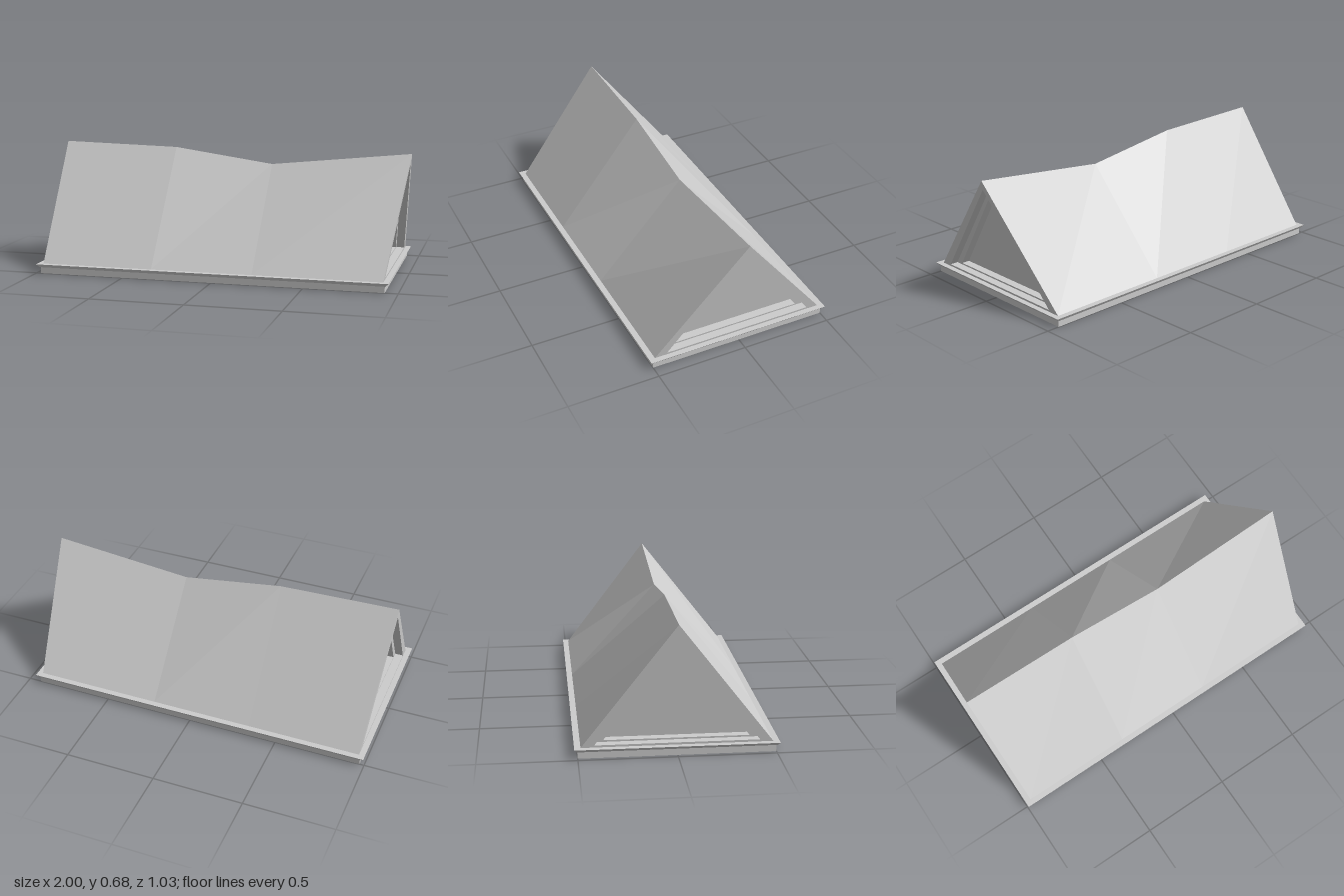
import * as THREE from 'three';

const material = new THREE.MeshStandardMaterial({ color: 0xcccccc, flatShading: true });
const EAVE_Y = 0.052, EAVE_Z = 0.485;

// Ridge points (x, y) with the eave x below each of them
const ridge = [
  { x: -1, y: 0.682, eave: -0.965 },
  { x: -0.34, y: 0.665, eave: -0.34 },
  { x: 0.22, y: 0.585, eave: 0.22 },
  { x: 1, y: 0.665, eave: 0.92 },
];

// Mesh from a list of triangles and quads, each an array of [x, y, z] corners
function faceMesh(name, faces) {
  const pos = [];
  for (const f of faces) {
    for (let i = 1; i < f.length - 1; i++) pos.push(...f[0], ...f[i], ...f[i + 1]);
  }
  const geo = new THREE.BufferGeometry();
  geo.setAttribute('position', new THREE.Float32BufferAttribute(pos, 3));
  geo.computeVertexNormals();
  const mesh = new THREE.Mesh(geo, material);
  mesh.name = name;
  return mesh;
}

// One roof slope; side is +1 for the front and -1 for the back
function roofSlope(name, side) {
  const faces = [];
  for (let i = 0; i < ridge.length - 1; i++) {
    const a = ridge[i], b = ridge[i + 1];
    const quad = [
      [a.eave, EAVE_Y, side * EAVE_Z],
      [b.eave, EAVE_Y, side * EAVE_Z],
      [b.x, b.y, 0],
      [a.x, a.y, 0],
    ];
    faces.push(side > 0 ? quad : quad.reverse());
  }
  return faceMesh(name, faces);
}

// Leaning gable with a triangular panel recessed in two steps
function gable(name, end, side) {
  const ring = (halfWidth, bottom, top, depth) =>
    [[halfWidth, bottom], [0, top], [-halfWidth, bottom]].map(([z, y]) => {
      const t = (y - EAVE_Y) / (end.y - EAVE_Y);
      return [THREE.MathUtils.lerp(end.eave, end.x, t) - side * depth, y, z];
    });
  const step = 0.045;
  const rings = [
    ring(EAVE_Z, EAVE_Y, end.y, 0),
    ring(0.417, 0.063, end.y - 0.05, 0),
    ring(0.417, 0.063, end.y - 0.05, step),
    ring(0.37, 0.072, end.y - 0.085, step),
    ring(0.37, 0.072, end.y - 0.085, step * 2),
  ];
  const faces = [];
  for (let k = 0; k < rings.length - 1; k++) {
    for (let i = 0; i < 3; i++) {
      const j = (i + 1) % 3, o = rings[k], n = rings[k + 1];
      faces.push([o[i], n[i], n[j], o[j]]);
    }
  }
  const [a, b, c] = rings[rings.length - 1];
  faces.push([a, c, b]);
  if (side < 0) faces.forEach((f) => f.reverse());
  return faceMesh(name, faces);
}

// Box between two heights whose top can be wider than its bottom
function slab(name, y0, y1, bottom, top) {
  const geo = new THREE.BoxGeometry(1, 1, 1);
  const p = geo.attributes.position;
  for (let i = 0; i < p.count; i++) {
    const r = p.getY(i) > 0 ? top : bottom;
    p.setXYZ(i, p.getX(i) > 0 ? r.x1 : r.x0, p.getY(i) > 0 ? y1 : y0, Math.sign(p.getZ(i)) * r.z);
  }
  geo.computeVertexNormals();
  const mesh = new THREE.Mesh(geo, material);
  mesh.name = name;
  return mesh;
}

export function createModel() {
  const model = new THREE.Group();
  model.name = 'saggingRoof';

  // Base and flared cornice
  const base = { x0: -0.975, x1: 0.93, z: 0.5 };
  model.add(slab('base', 0, 0.035, base, base));
  model.add(slab('cornice', 0.035, EAVE_Y,
    { x0: -0.98, x1: 0.935, z: 0.506 }, { x0: -0.997, x1: 0.95, z: 0.517 }));

  // Roof slopes and gables
  model.add(roofSlope('frontSlope', 1), roofSlope('backSlope', -1));
  model.add(gable('leftGable', ridge[3], 1), gable('rightGable', ridge[0], -1));
  return model;
}
